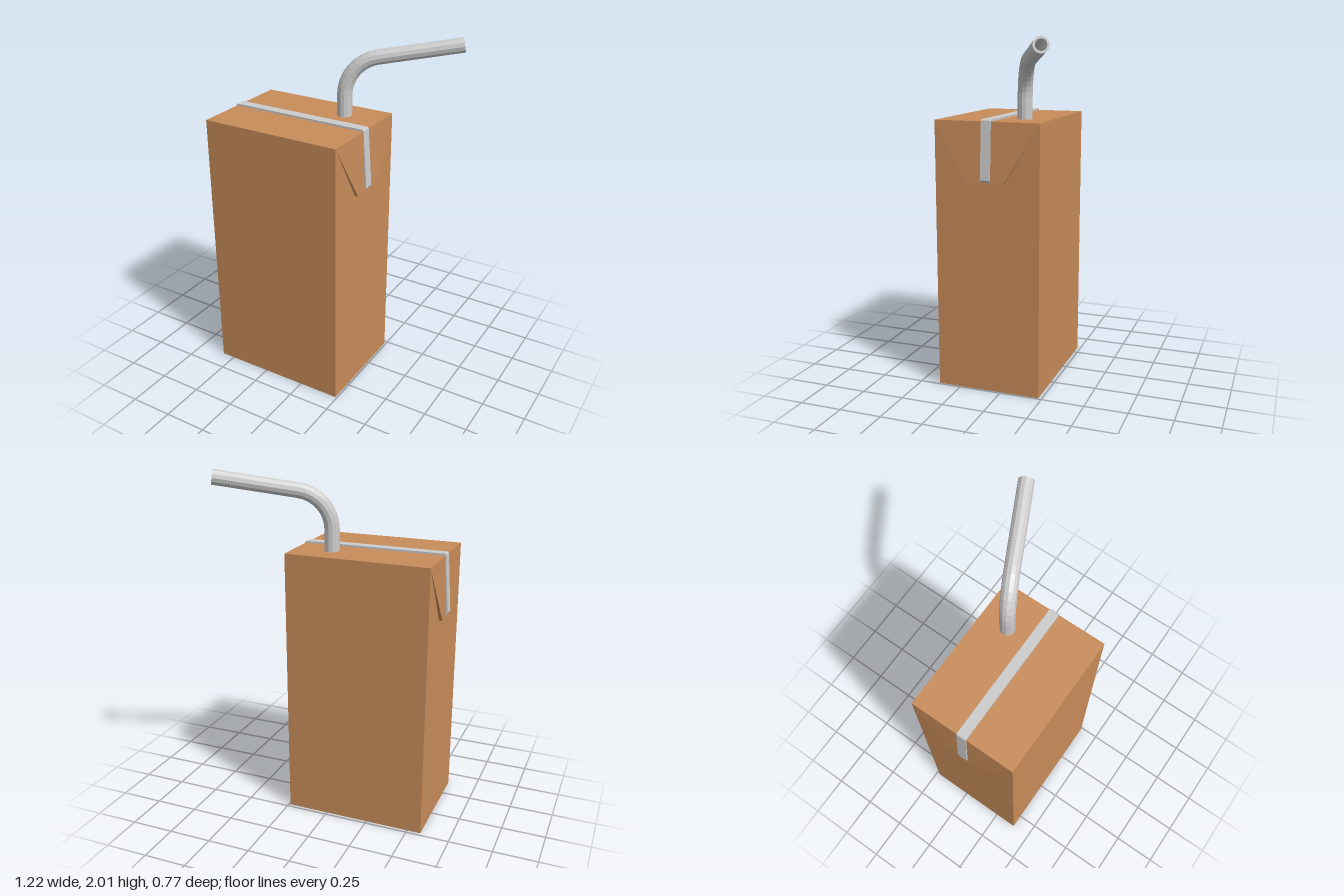
import * as THREE from 'three';

const W = 0.82, H = 1.56, D = 0.615;      // carton size
const CX = -0.17, CZ = 0.078;             // carton centre

const card = new THREE.MeshStandardMaterial({ color: 0xc88c5a, flatShading: true });
const grey = new THREE.MeshStandardMaterial({ color: 0xcccccc, flatShading: true });

function mesh(name, geometry, material) {
  const m = new THREE.Mesh(geometry, material);
  m.name = name;
  return m;
}

function polygon(points) {
  return new THREE.Shape(points.map(([x, y]) => new THREE.Vector2(x, y)));
}

// Folded ear: a trapezoid that stands out further towards its lower edge
function flapGeometry() {
  const low = 1.22, out = 0.019;
  const shape = polygon([[-0.105, low], [0.105, low], [D / 2, H], [-D / 2, H]]);
  const geo = new THREE.ExtrudeGeometry(shape, { depth: 1, bevelEnabled: false });
  const p = geo.attributes.position;
  for (let i = 0; i < p.count; i++) {
    p.setZ(i, p.getZ(i) * out * (H - p.getY(i)) / (H - low));
  }
  geo.computeVertexNormals();
  return geo;
}

// Seam band: runs over the top and down both flaps
function seamGeometry() {
  const h = W / 2, width = 0.057;
  const half = [
    [h - 0.02, 1.225], [h + 0.018, 1.225], [h + 0.027, 1.24],
    [h + 0.004, H + 0.005], [h - 0.004, H + 0.011],
  ];
  const inner = [h - 0.02, H - 0.02];
  const mirror = ([x, y]) => [-x, y];
  const shape = polygon([...half, ...half.map(mirror).reverse(), mirror(inner), inner]);
  const geo = new THREE.ExtrudeGeometry(shape, { depth: width, bevelEnabled: false });
  geo.translate(0, 0, -width / 2);
  return geo;
}

// Hollow straw: a straight lathed pipe, then bent along an arc
function strawGeometry() {
  const outer = 0.042, inner = 0.03;
  const rise = 0.12, R = 0.215, bend = THREE.MathUtils.degToRad(80.5), tip = 0.457;
  const stations = [0];
  for (let i = 0; i <= 8; i++) stations.push(rise + R * bend * i / 8);
  stations.push(rise + R * bend + tip);
  const profile = [
    ...stations.map(s => new THREE.Vector2(outer, s)),
    ...stations.slice().reverse().map(s => new THREE.Vector2(inner, s)),
  ];
  const geo = new THREE.LatheGeometry(profile, 12);
  const p = geo.attributes.position;
  for (let i = 0; i < p.count; i++) {
    const x = p.getX(i), s = p.getY(i);
    const a = THREE.MathUtils.clamp((s - rise) / R, 0, bend);
    const rest = s <= rise ? s - rise : s - rise - R * a;
    p.setX(i, R * (1 - Math.cos(a)) + x * Math.cos(a) + rest * Math.sin(a));
    p.setY(i, rise + R * Math.sin(a) - x * Math.sin(a) + rest * Math.cos(a));
  }
  geo.computeVertexNormals();
  return geo;
}

export function createModel() {
  const model = new THREE.Group();
  model.name = 'drinkCarton';

  const carton = new THREE.Group();
  carton.name = 'carton';
  carton.position.set(CX, 0, CZ);
  model.add(carton);

  const body = mesh('body', new THREE.BoxGeometry(W, H, D), card);
  body.position.y = H / 2;
  carton.add(body);

  // One ear on each narrow side
  for (const side of [1, -1]) {
    const flap = mesh(side > 0 ? 'leftFlap' : 'rightFlap', flapGeometry(), card);
    flap.rotation.y = side * Math.PI / 2;
    flap.position.x = side * W / 2;
    carton.add(flap);
  }
  carton.add(mesh('seamBand', seamGeometry(), grey));

  const straw = mesh('straw', strawGeometry(), grey);
  straw.position.set(0.026, H, -0.071);
  straw.rotation.y = 0.456;
  model.add(straw);

  return model;
}
